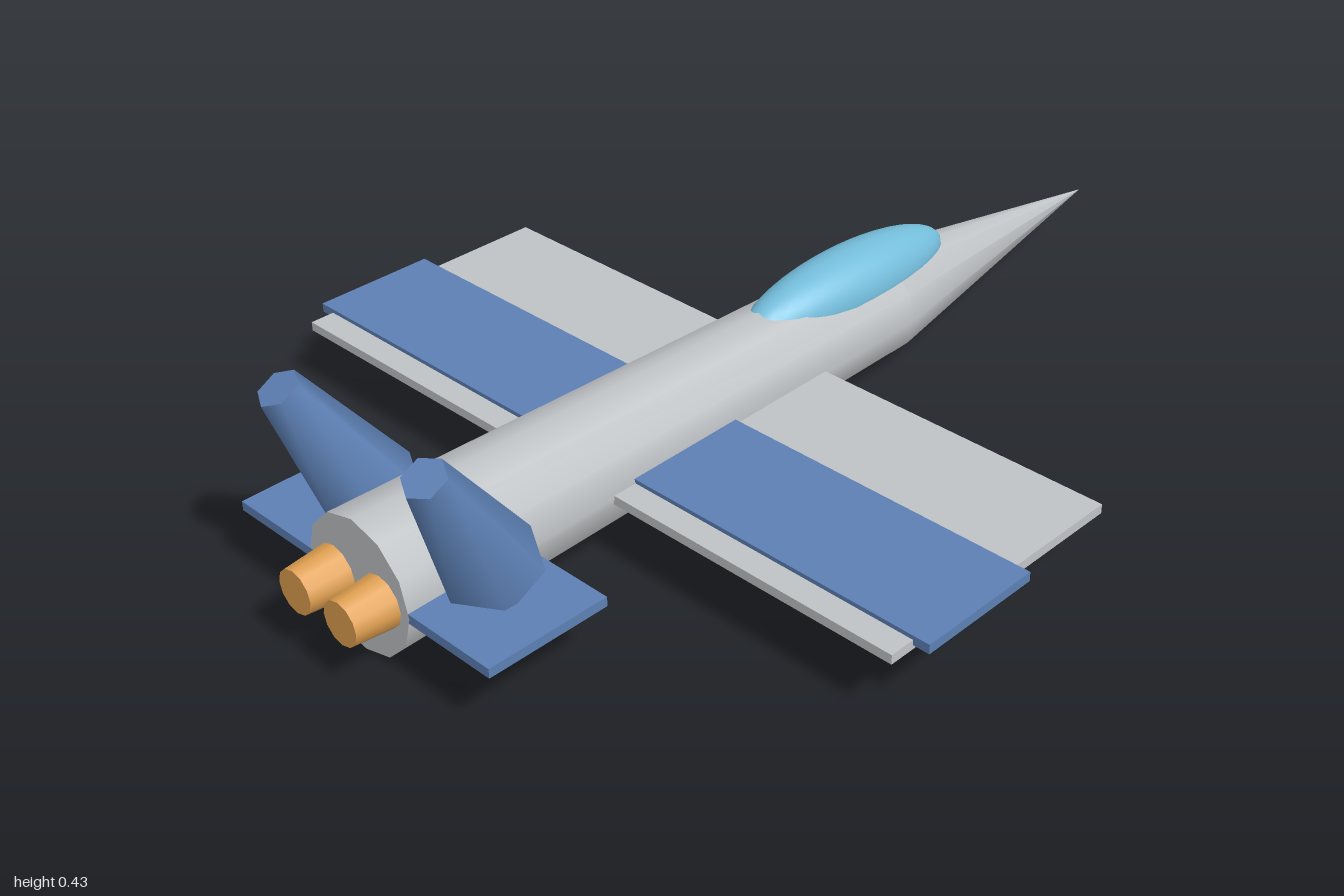
import * as THREE from 'three';

const paint = (name, color) => {
  const m = new THREE.MeshStandardMaterial({ color });
  m.name = name;
  return m;
};

export function createModel() {
  const group = new THREE.Group();
  const grey = paint('light grey', 0xc0c3c6);
  const blue = paint('steel blue', 0x5d80b4);
  const sky = paint('canopy blue', 0x74bddb);
  const orange = paint('nozzle orange', 0xdf9f50);
  sky.side = THREE.DoubleSide;
  const axisY = 0.127;

  const add = (name, geometry, material, x, y, z) => {
    const mesh = new THREE.Mesh(geometry, material);
    mesh.name = name;
    mesh.position.set(x, y, z);
    group.add(mesh);
    return mesh;
  };

  // Tapered round body lying along x, from x0 (radius r0) to x1 (radius r1)
  const barrel = (name, material, x0, r0, x1, r1, sides, z = 0) => {
    const g = new THREE.CylinderGeometry(r1, r0, x1 - x0, sides);
    g.rotateZ(-Math.PI / 2);
    return add(name, g, material, (x0 + x1) / 2, axisY, z);
  };

  // Flat slab given by its x range, y range and half span
  const slab = (name, material, x0, x1, y0, y1, halfSpan) =>
    add(name, new THREE.BoxGeometry(x1 - x0, y1 - y0, halfSpan * 2), material,
      (x0 + x1) / 2, (y0 + y1) / 2, 0);

  // Body and nose
  barrel('fuselage', grey, -0.92, 0.127, 0.32, 0.105, 12);
  const nose = new THREE.ConeGeometry(0.105, 0.68, 12);
  nose.rotateZ(-Math.PI / 2);
  add('noseCone', nose, grey, 0.66, axisY - 0.001, 0);

  // Canopy: stretched half dome
  const dome = new THREE.SphereGeometry(1, 32, 12, 0, Math.PI * 2, 0, Math.PI / 2);
  dome.scale(0.275, 0.076, 0.075);
  add('canopy', dome, sky, 0.235, 0.2, 0);

  // Wings with raised blue bands, and tailplane
  slab('wing', grey, -0.48, 0.06, 0.113, 0.131, 0.725);
  slab('wingBand', blue, -0.43, -0.18, 0.121, 0.139, 0.757);
  slab('tailplane', blue, -0.92, -0.68, 0.118, 0.136, 0.315);

  // Mirrored tail fins and engine nozzles
  for (const [side, s] of [['left', -1], ['right', 1]]) {
    const base = new THREE.Vector3(-0.77, 0.155, 0.15 * s);
    const tip = new THREE.Vector3(-0.906, 0.408, 0.181 * s);
    const axis = tip.clone().sub(base);
    const fin = add(side + 'TailFin',
      new THREE.CylinderGeometry(0.039, 0.09, axis.length(), 6, 1, false, Math.PI / 2),
      blue, 0, 0, 0);
    fin.position.copy(base).add(tip).multiplyScalar(0.5);
    fin.quaternion.setFromUnitVectors(new THREE.Vector3(0, 1, 0), axis.normalize());

    barrel(side + 'Nozzle', orange, -1, 0.041, -0.9, 0.05, 12, 0.058 * s);
  }

  return group;
}
